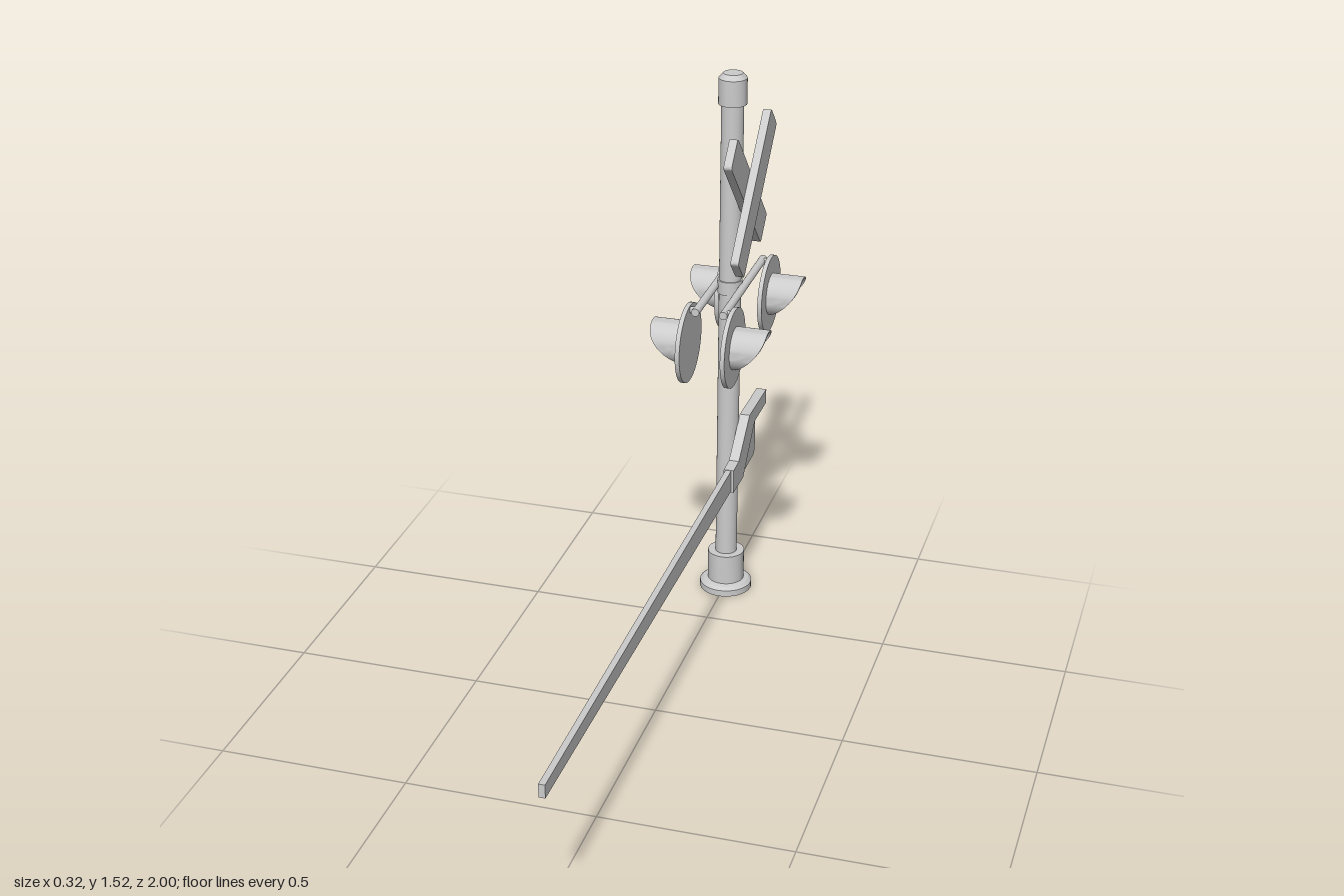
import * as THREE from 'three';
import { toCreasedNormals } from 'three/addons/utils/BufferGeometryUtils.js';

const grey = new THREE.MeshStandardMaterial({ color: 0xcccccc });
const greyThin = new THREE.MeshStandardMaterial({ color: 0xcccccc, side: THREE.DoubleSide });
const POST_Z = -0.697;

function add(parent, name, geometry, x = 0, y = 0, z = 0, material = grey) {
  const mesh = new THREE.Mesh(geometry, material);
  mesh.name = name;
  mesh.position.set(x, y, z);
  parent.add(mesh);
  return mesh;
}

// Turned solid with crisp edges
function turned(profile, segments = 32) {
  const points = profile.map(([r, y]) => new THREE.Vector2(r, y));
  return toCreasedNormals(new THREE.LatheGeometry(points, segments), 0.5);
}

// Plate drawn as [z, y] corners, thickened from x0 to x1
function plate(corners, x0, x1) {
  const shape = new THREE.Shape(corners.map(([z, y]) => new THREE.Vector2(-z, y)));
  const geometry = new THREE.ExtrudeGeometry(shape, { depth: x1 - x0, bevelEnabled: false });
  return geometry.rotateY(Math.PI / 2).translate(x0, 0, 0);
}

// Board with small rounded corners, lying in the zy plane
function board(length, width, thickness) {
  const a = length / 2, b = width / 2, r = 0.012;
  const s = new THREE.Shape();
  s.moveTo(-a + r, -b).lineTo(a - r, -b).quadraticCurveTo(a, -b, a, -b + r);
  s.lineTo(a, b - r).quadraticCurveTo(a, b, a - r, b);
  s.lineTo(-a + r, b).quadraticCurveTo(-a, b, -a, b - r);
  s.lineTo(-a, -b + r).quadraticCurveTo(-a, -b, -a + r, -b);
  const geometry = new THREE.ExtrudeGeometry(s, { depth: thickness, bevelEnabled: false, curveSegments: 4 });
  return geometry.rotateY(Math.PI / 2);
}

// Visor: a tube along +x whose length falls away from top to bottom
function visor(radius, wall, length, segments = 40) {
  const positions = [], index = [], steps = 4;
  const rings = [];
  for (let k = 0; k <= steps; k++) rings.push([radius, k / steps]);
  for (let k = steps; k >= 0; k--) rings.push([radius - wall, k / steps]);
  for (let i = 0; i <= segments; i++) {
    const a = (i / segments) * Math.PI * 2;
    const reach = length * (1 - Math.pow((1 - Math.cos(a)) / 2, 1.8));
    for (const [r, t] of rings) positions.push(reach * t, r * Math.cos(a), r * Math.sin(a));
  }
  const n = rings.length;
  for (let i = 0; i < segments; i++) {
    for (let k = 0; k < n - 1; k++) {
      const p = i * n + k, q = p + n;
      index.push(p, p + 1, q, p + 1, q + 1, q);
    }
  }
  const geometry = new THREE.BufferGeometry();
  geometry.setAttribute('position', new THREE.Float32BufferAttribute(positions, 3));
  geometry.setIndex(index);
  geometry.computeVertexNormals();
  return toCreasedNormals(geometry, 0.7);
}

// Two signal lamps on a crossbar, facing +x
function lampPair() {
  const group = new THREE.Group();
  add(group, 'crossbar', new THREE.CylinderGeometry(0.011, 0.011, 0.42, 16).rotateX(Math.PI / 2), 0.038, 0.925, 0);
  for (const z of [-0.193, 0.193]) {
    const lamp = new THREE.Group();
    lamp.name = 'signalLamp';
    lamp.position.set(0.055, 0.83, z);
    add(lamp, 'backingDisc', new THREE.CylinderGeometry(0.108, 0.108, 0.012, 48).rotateZ(Math.PI / 2), 0.006);
    add(lamp, 'visor', visor(0.058, 0.005, 0.091), 0.012, 0, 0, greyThin);
    const lens = new THREE.SphereGeometry(0.044, 28, 8, 0, Math.PI * 2, 0, Math.PI / 2);
    add(lamp, 'lens', lens.rotateZ(-Math.PI / 2).scale(0.25, 1, 1), 0.012);
    add(lamp, 'lampBracket', new THREE.CylinderGeometry(0.009, 0.009, 0.02, 12).rotateZ(Math.PI / 2), -0.009, 0.095);
    group.add(lamp);
  }
  return group;
}

export function createModel() {
  const model = new THREE.Group();
  model.name = 'crossingSignal';

  // Post with foot and cap
  add(model, 'post', new THREE.CylinderGeometry(0.03, 0.03, 1.38, 32), 0, 0.78, POST_Z);
  add(model, 'foot', turned([[0, 0], [0.073, 0], [0.073, 0.018], [0.064, 0.026], [0.051, 0.029], [0.051, 0.115], [0, 0.115]]), 0, 0, POST_Z);
  add(model, 'cap', turned([[0, 1.435], [0.038, 1.435], [0.038, 1.505], [0.026, 1.518], [0, 1.518]]), 0, 0, POST_Z);
  add(model, 'crossbarCollar', new THREE.CylinderGeometry(0.034, 0.034, 0.038, 32), 0, 0.925, POST_Z);

  // Crossed boards, one lapped over the other
  [[0.028, -1], [0.05, 1]].forEach(([x, turn]) => {
    const sign = add(model, 'crossBoard', board(0.455, 0.088, 0.022), x, 1.195, POST_Z);
    sign.rotation.x = turn * Math.PI / 4;
  });

  // Lamps on both faces
  for (const turn of [0, Math.PI]) {
    const pair = lampPair();
    pair.name = 'lampPair';
    pair.position.z = POST_Z;
    pair.rotation.y = turn;
    model.add(pair);
  }

  // Gate: tapering arm, cranked holder and backing plate
  add(model, 'gateArm', plate([[1, 0.395], [1, 0.43], [-0.6, 0.442], [-0.6, 0.378]], 0.034, 0.05));
  add(model, 'armHolder', plate([
    [-0.55, 0.375], [-0.55, 0.443], [-0.605, 0.445], [-0.715, 0.535], [-0.9, 0.532],
    [-0.9, 0.49], [-0.775, 0.49], [-0.655, 0.372]], 0.029, 0.057));
  add(model, 'holderPlate', plate([
    [-0.64, 0.374], [-0.775, 0.5], [-0.803, 0.5], [-0.803, 0.39], [-0.79, 0.378]], 0.029, 0.051));

  return model;
}
